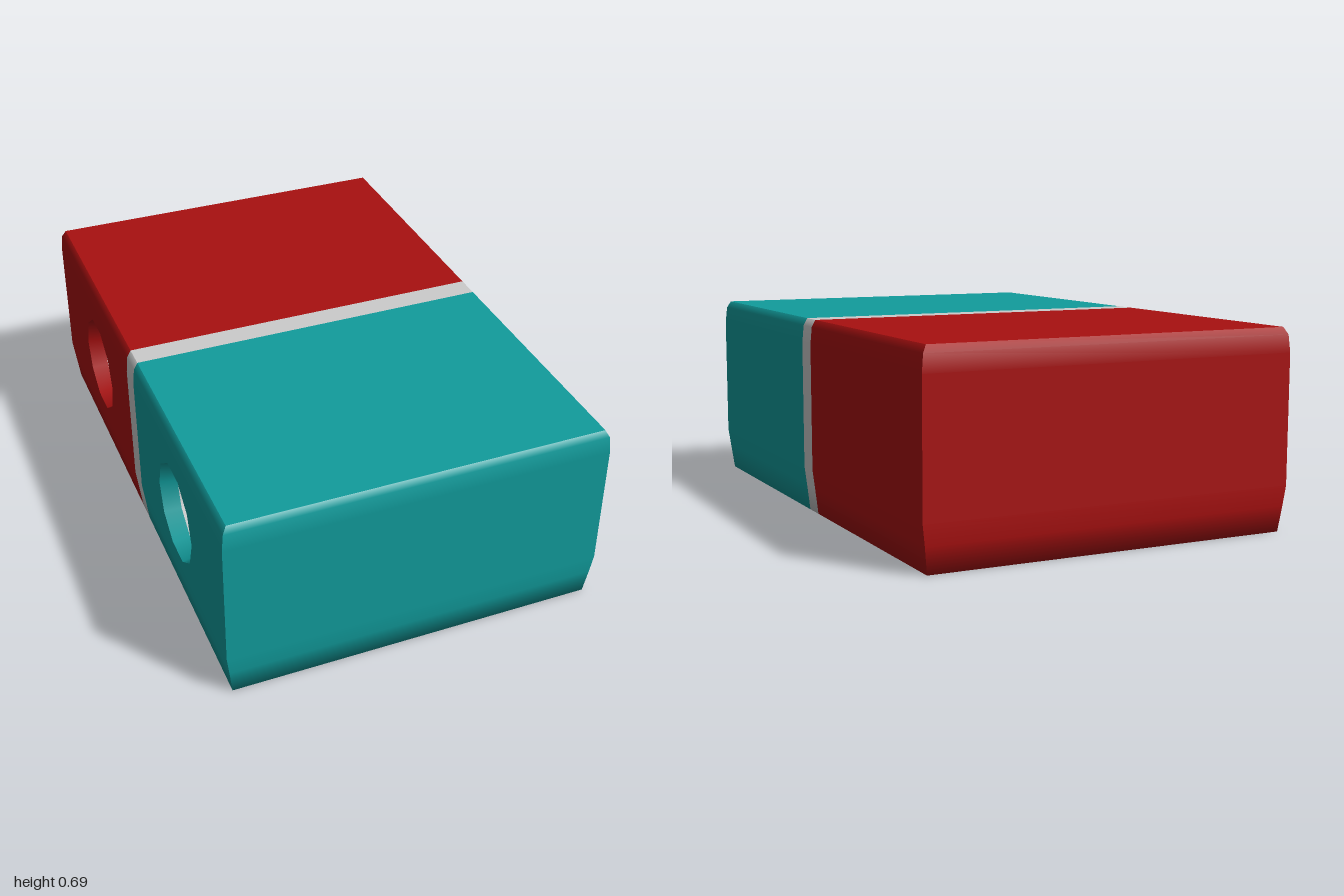
import * as THREE from 'three';

// Body profile by height: y, half width, half length, vertical tilt of the normal
const LEVELS = [
  [0, 0.65, 0.985, -0.9],
  [0.09, 0.661, 0.995, -0.1],
  [0.16, 0.67, 1, 0],
  [0.61, 0.67, 1, 0],
  [0.67, 0.664, 0.996, 0.25],
  [0.695, 0.65, 0.985, 0.75],
];
const FLAT = 2; // index of the flat wall strip
const SIDES = 10;
const HOLE_R = 0.18;
const HOLE_Y = 0.37;

const material = (color) => new THREE.MeshStandardMaterial({ color, side: THREE.DoubleSide });

// Collects quads and turns each one to face its normals
function quadBuilder() {
  const pos = [], nor = [];
  return {
    quad(points, normals) {
      const [a, b, c] = points;
      const face = b.clone().sub(a).cross(c.clone().sub(a));
      const order = face.dot(normals[0]) + face.dot(normals[2]) > 0 ? [0, 1, 2, 0, 2, 3] : [0, 2, 1, 0, 3, 2];
      for (const i of order) {
        pos.push(...points[i].toArray());
        nor.push(...normals[i].toArray());
      }
    },
    build() {
      const g = new THREE.BufferGeometry();
      g.setAttribute('position', new THREE.Float32BufferAttribute(pos, 3));
      g.setAttribute('normal', new THREE.Float32BufferAttribute(nor, 3));
      return g;
    },
  };
}

// A slice of the body; z0 and z1 give its end positions from a level's half length
function slice(z0, z1, endSign, pierced) {
  const V = (x, y, z) => new THREE.Vector3(x, y, z);
  const b = quadBuilder();
  for (let i = 0; i < LEVELS.length - 1; i++) {
    const [ya, wa, la, ta] = LEVELS[i], [yb, wb, lb, tb] = LEVELS[i + 1];
    const ca = Math.sqrt(1 - ta * ta), cb = Math.sqrt(1 - tb * tb);
    for (const s of [1, -1]) {
      if (pierced && s < 0 && i === FLAT) continue;
      const na = V(s * ca, ta, 0), nb = V(s * cb, tb, 0);
      b.quad([V(s * wa, ya, z0(la)), V(s * wa, ya, z1(la)), V(s * wb, yb, z1(lb)), V(s * wb, yb, z0(lb))],
        [na, na, nb, nb]);
    }
    if (endSign) {
      const na = V(0, ta, endSign * ca), nb = V(0, tb, endSign * cb);
      b.quad([V(-wa, ya, endSign * la), V(wa, ya, endSign * la), V(wb, yb, endSign * lb), V(-wb, yb, endSign * lb)],
        [na, na, nb, nb]);
    }
  }
  // Top and bottom
  for (const [level, ny] of [[LEVELS[0], -1], [LEVELS.at(-1), 1]]) {
    const [y, w, l] = level, n = V(0, ny, 0);
    b.quad([V(-w, y, z0(l)), V(w, y, z0(l)), V(w, y, z1(l)), V(-w, y, z1(l))], [n, n, n, n]);
  }
  return b.build();
}

// Flat side wall with a round opening
function piercedWall(zMin, zMax, holeZ) {
  const [lo, hi] = [LEVELS[FLAT][0], LEVELS[FLAT + 1][0]];
  const rect = [[zMin, lo], [zMax, lo], [zMax, hi], [zMin, hi]].map((p) => new THREE.Vector2(...p));
  const shape = new THREE.Shape(rect);
  const hole = [];
  for (let i = 0; i < SIDES; i++) {
    const a = -(i / SIDES) * Math.PI * 2;
    hole.push(new THREE.Vector2(holeZ + HOLE_R * Math.cos(a), HOLE_Y + HOLE_R * Math.sin(a)));
  }
  shape.holes.push(new THREE.Path(hole));
  return new THREE.ShapeGeometry(shape).rotateY(-Math.PI / 2).translate(-LEVELS[FLAT][1], 0, 0);
}

// Open tapered tube running inward from the side wall
function socket(rMouth, rEnd, start, depth, z) {
  return new THREE.CylinderGeometry(rMouth, rEnd, depth, SIDES, 1, true)
    .rotateZ(Math.PI / 2)
    .translate(-LEVELS[FLAT][1] + start + depth / 2, HOLE_Y, z);
}

export function createModel() {
  const model = new THREE.Group();
  const add = (parent, name, geometry, mat) => {
    const mesh = new THREE.Mesh(geometry, mat);
    mesh.name = name;
    parent.add(mesh);
  };
  const grey = material(0xcccccc);
  const bandFront = 0.045, bandBack = -0.04;

  // Two coloured halves, each with a tapering hole in its side
  const halves = [
    { name: 'front', sign: 1, inner: bandFront, holeZ: 0.49, color: 0x119c9c },
    { name: 'back', sign: -1, inner: bandBack, holeZ: -0.48, color: 0xa81010 },
  ];
  for (const { name, sign, inner, holeZ, color } of halves) {
    const half = new THREE.Group();
    half.name = name + 'Half';
    const mat = material(color);
    add(half, name + 'Shell', slice(() => inner, (l) => sign * l, sign, true), mat);
    add(half, name + 'HoleWall', piercedWall(Math.min(inner, sign), Math.max(inner, sign), holeZ), mat);
    add(half, name + 'HoleRim', socket(HOLE_R, 0.165, 0, 0.06, holeZ), mat);
    add(half, name + 'HoleCone', socket(0.165, 0.02, 0.06, 0.7, holeZ), grey);
    model.add(half);
  }

  // Plain band between the halves
  add(model, 'middleBand', slice(() => bandBack, () => bandFront, 0, false), grey);
  return model;
}
